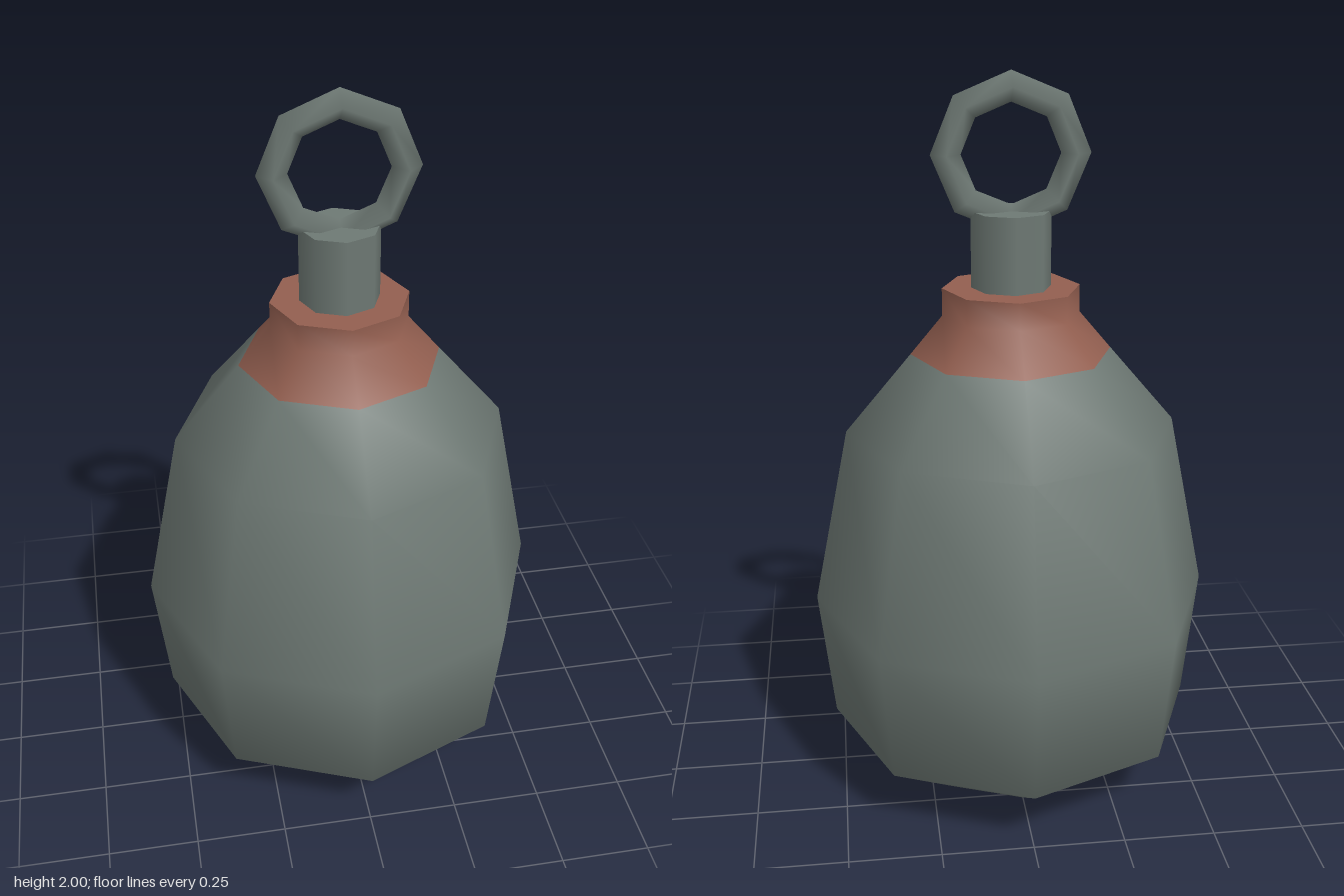
import * as THREE from 'three';

const SIDES = 8;

function mat(name, color) {
  const m = new THREE.MeshStandardMaterial({ color });
  m.name = name;
  return m;
}

export function createModel() {
  const group = new THREE.Group();
  group.name = 'ringWeight';
  const iron = mat('grey iron', 0x6e7974);
  const rust = mat('rust red', 0x935f50);

  const add = (name, geometry, material, y = 0) => {
    const mesh = new THREE.Mesh(geometry, material);
    mesh.name = name;
    mesh.position.y = y;
    group.add(mesh);
    return mesh;
  };
  const lathe = (points) =>
    new THREE.LatheGeometry(points.map(([r, y]) => new THREE.Vector2(r, y)), SIDES);

  // Pear-shaped octagonal body with a flat foot
  add('body', lathe([[0, 0], [0.27, 0], [0.52, 0.17], [0.56, 0.54], [0.457, 1.04], [0.275, 1.255]]), iron);

  // Red collar continuing the shoulder slope, with a flat sharp-edged top
  add('collar', lathe([[0.275, 1.255], [0.187, 1.36], [0.187, 1.435]]), rust);
  add('collarTop', lathe([[0.187, 1.435], [0, 1.435]]), rust);

  // Neck stub
  add('neck', new THREE.CylinderGeometry(0.108, 0.108, 0.22, SIDES), iron, 1.53);

  // Lifting ring with a diamond-shaped section, sunk into the neck
  add('ring', new THREE.TorusGeometry(0.172, 0.04, 4, SIDES), iron, 1.788);

  return group;
}
